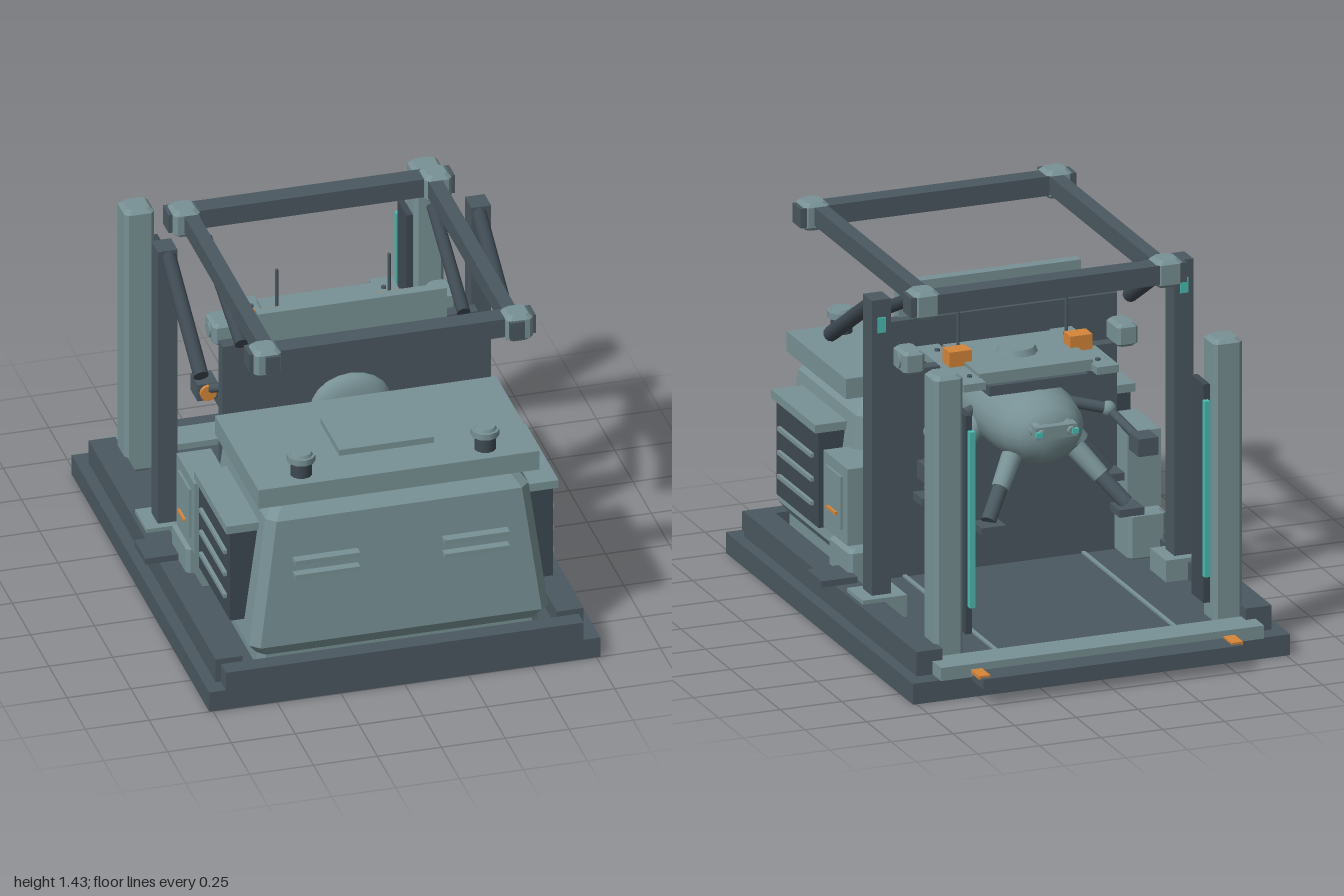
import * as THREE from 'three';

const mat = (name, color, flat = false) => {
  const m = new THREE.MeshStandardMaterial({ color, flatShading: flat });
  m.name = name;
  return m;
};

export function createModel() {
  const light = mat('pale grey green', 0x789195);
  const dark = mat('slate', 0x4a5860);
  const deep = mat('deep slate', 0x3e4952);
  const teal = mat('teal glow', 0x4abfb3);
  const orange = mat('orange', 0xd6853a);
  const root = new THREE.Group();

  const add = (name, geo, m) => {
    const mesh = new THREE.Mesh(geo, m);
    mesh.name = name;
    root.add(mesh);
    return mesh;
  };
  // Box from its minimum and maximum on each axis
  const box = (name, m, x0, x1, y0, y1, z0, z1) => {
    const mesh = add(name, new THREE.BoxGeometry(Math.abs(x1 - x0), y1 - y0, z1 - z0), m);
    mesh.position.set((x0 + x1) / 2, (y0 + y1) / 2, (z0 + z1) / 2);
    return mesh;
  };
  const pair = (fn) => [-1, 1].forEach(fn);
  // Round bar between two points
  const bar = (name, m, a, b, r0, r1 = r0, n = 12) => {
    const p = new THREE.Vector3(...a), q = new THREE.Vector3(...b), d = q.clone().sub(p);
    const mesh = add(name, new THREE.CylinderGeometry(r1, r0, d.length(), n), m);
    mesh.position.copy(p).add(q).multiplyScalar(0.5);
    mesh.quaternion.setFromUnitVectors(new THREE.Vector3(0, 1, 0), d.normalize());
    return mesh;
  };
  // Stack of chamfered rectangles: rows of [y, half width, back z, front z, chamfer]
  const loft = (name, m, cx, rows) => {
    const rings = rows.map(([y, w, zb, zf, c]) => [
      [w, zb + c], [w - c, zb], [c - w, zb], [-w, zb + c],
      [-w, zf - c], [c - w, zf], [w - c, zf], [w, zf - c],
    ].map(([x, z]) => [cx + x, y, z]));
    const pos = [], tri = (...p) => p.forEach((v) => pos.push(...v));
    const bottom = rings[0], top = rings[rings.length - 1];
    for (let i = 0; i < 8; i++) {
      const j = (i + 1) % 8;
      for (let k = 0; k + 1 < rings.length; k++) {
        const lo = rings[k], hi = rings[k + 1];
        tri(lo[i], lo[j], hi[j]);
        tri(lo[i], hi[j], hi[i]);
      }
      if (i > 0 && j > 0) {
        tri(top[0], top[i], top[j]);
        tri(bottom[0], bottom[j], bottom[i]);
      }
    }
    const g = new THREE.BufferGeometry();
    g.setAttribute('position', new THREE.Float32BufferAttribute(pos, 3));
    g.computeVertexNormals();
    return add(name, g, m);
  };
  const bevelBox = (name, m, x0, x1, y0, y1, z0, z1, c) => {
    const w = Math.abs(x1 - x0) / 2;
    return loft(name, m, (x0 + x1) / 2, [
      [y0, w - c, z0 + c, z1 - c, c], [y0 + c, w, z0, z1, c],
      [y1 - c, w, z0, z1, c], [y1, w - c, z0 + c, z1 - c, c],
    ]);
  };

  // Platform
  box('basePlate', dark, -0.765, 0.765, 0, 0.083, -0.885, 1);
  box('floor', dark, -0.62, 0.62, 0.08, 0.11, -0.8, 0.93);
  box('frontRail', dark, -0.7, 0.7, 0.083, 0.158, 0.93, 1);
  box('rearSill', light, -0.655, 0.655, 0.083, 0.135, -0.895, -0.765);
  box('rearStep', dark, -0.525, 0.525, 0.065, 0.106, -1, -0.88);
  pair((s) => {
    box('sideRail', dark, s * 0.615, s * 0.72, 0.083, 0.18, -0.81, 0.93);
    box('floorTrack', light, s * 0.355, s * 0.37, 0.11, 0.118, -0.73, 0.2);
    box('rearMarker', orange, s * 0.49, s * 0.535, 0.1, 0.114, -0.98, -0.895);
    box('sideStep', dark, s * 0.63, s * 0.775, 0.18, 0.205, 0.01, 0.16);
  });

  // Rear posts with guide plates and light strips
  pair((s) => {
    bevelBox('rearPost', light, s * 0.508, s * 0.625, 0.11, 1.24, -0.76, -0.64, 0.015);
    box('guidePlate', deep, s * 0.47, s * 0.495, 0.2, 1.07, -0.745, -0.622);
    box('lightStrip', teal, s * 0.465, s * 0.487, 0.31, 1.01, -0.77, -0.745);
  });

  // Gantry columns and braces
  pair((s) => {
    box('columnFoot', light, s * 0.525, s * 0.705, 0.1, 0.196, -0.23, -0.07);
    box('column', dark, s * 0.575, s * 0.652, 0.19, 1.37, -0.19, -0.1);
    box('columnLamp', teal, s * 0.597, s * 0.63, 1.24, 1.3, -0.196, -0.189);
    bar('outerBrace', deep, [s * 0.607, 1.345, -0.12], [s * 0.607, 1.065, 0.335], 0.03);
    bar('innerBrace', deep, [s * 0.445, 1.36, -0.17], [s * 0.435, 1.15, 0.285], 0.026);
  });

  // Overhead frame
  [-0.315, 0.795].forEach((z) => {
    box('crossBeam', dark, -0.56, 0.56, 1.343, 1.42, z - 0.04, z + 0.04);
    pair((s) => bevelBox('frameCorner', light, s * 0.44, s * 0.545, 1.325, 1.435, z - 0.045, z + 0.065, 0.015));
  });
  pair((s) => box('sideBeam', dark, s * 0.45, s * 0.505, 1.348, 1.42, -0.355, 0.875));

  // Front cabinet with lid
  loft('cabinet', light, 0, [
    [0.1, 0.55, 0.31, 0.92, 0.03], [0.165, 0.55, 0.31, 0.92, 0.03],
    [0.212, 0.585, 0.275, 0.95, 0.035], [0.735, 0.515, 0.275, 0.925, 0.035],
    [0.79, 0.47, 0.32, 0.87, 0.03],
  ]);
  box('lidGap', dark, -0.44, 0.44, 0.78, 0.805, 0.36, 0.84);
  box('lid', light, -0.55, 0.55, 0.8, 0.88, 0.325, 0.92);
  box('lidPlate', light, -0.185, 0.185, 0.88, 0.905, 0.49, 0.75);
  pair((s) => {
    [0.51, 0.57].forEach((y) => box('frontSlot', light, s * 0.165, s * 0.42, y - 0.009, y + 0.009, 0.92, 0.97));
    bar('ventNeck', deep, [s * 0.36, 0.88, 0.84], [s * 0.36, 0.945, 0.84], 0.042);
    bar('ventFlange', light, [s * 0.36, 0.94, 0.84], [s * 0.36, 0.965, 0.84], 0.055, 0.055, 10);
    bar('ventCap', light, [s * 0.36, 0.965, 0.84], [s * 0.36, 0.977, 0.84], 0.045, 0.04, 10);
  });

  // Side grilles
  pair((s) => {
    box('grillePanel', deep, s * 0.5, s * 0.632, 0.275, 0.66, 0.395, 0.82);
    box('grilleHood', light, s * 0.5, s * 0.65, 0.657, 0.69, 0.385, 0.832);
    [0.36, 0.455, 0.55].forEach((y) => box('grilleSlat', light, s * 0.63, s * 0.646, y - 0.008, y + 0.008, 0.44, 0.78));
  });

  // Side control boxes
  pair((s) => {
    box('controlBox', light, s * 0.5, s * 0.635, 0.3, 0.605, 0.095, 0.34);
    box('controlDoor', light, s * 0.634, s * 0.645, 0.35, 0.56, 0.145, 0.3);
    box('controlHandle', orange, s * 0.644, s * 0.655, 0.4, 0.412, 0.175, 0.262);
    bevelBox('controlBase', light, s * 0.49, s * 0.645, 0.1, 0.295, 0.055, 0.27, 0.015);
  });

  // Partition and header board
  box('partition', dark, -0.5, 0.5, 0.1, 1.13, 0.2, 0.255);
  box('headerBoard', light, -0.37, 0.37, 1.09, 1.265, 0.24, 0.283);

  // Suspended pod
  const profile = [[0, -0.4], [0.055, -0.4], [0.105, -0.365], [0.135, -0.3], [0.15, -0.2],
    [0.153, 0.1], [0.143, 0.22], [0.125, 0.275], [0.09, 0.31], [0, 0.312]];
  const podGeo = new THREE.LatheGeometry(profile.map((p) => new THREE.Vector2(...p)), 20);
  podGeo.rotateX(Math.PI / 2).scale(1.2, 1, 1).translate(0, 0.81, 0);
  add('pod', podGeo, light);
  box('podTail', light, -0.085, 0.085, 0.815, 0.865, -0.43, -0.36);
  pair((s) => {
    box('tailLamp', teal, s * 0.06, s * 0.085, 0.83, 0.85, -0.446, -0.429);
    bar('tailNozzle', light, [s * 0.06, 0.84, -0.37], [s * 0.06, 0.84, -0.44], 0.035, 0.015);
  });

  // Tray above the pod
  box('trayUnderframe', dark, -0.2, 0.2, 0.95, 0.99, -0.25, 0.2);
  box('trayCrossBar', dark, -0.37, 0.37, 0.955, 1.0, 0.135, 0.2);
  box('tray', light, -0.23, 0.23, 0.99, 1.035, -0.225, 0.145);
  bar('trayDome', light, [0, 1.03, -0.03], [0, 1.06, -0.03], 0.082, 0.07, 10);
  pair((s) => {
    box('trayWing', light, s * 0.225, s * 0.315, 0.99, 1.02, -0.28, 0.2);
    [-0.2, 0.125].forEach((z) => bar('trayBolt', dark, [s * 0.26, 1.015, z], [s * 0.26, 1.028, z], 0.01));
    box('beacon', orange, s * 0.2, s * 0.29, 1.02, 1.08, -0.075, -0.005);
    bar('antenna', dark, [s * 0.22, 1.02, 0.015], [s * 0.22, 1.292, 0.015], 0.007, 0.007, 8);
    bevelBox('sensor', light, s * 0.39, s * 0.475, 1.01, 1.1, -0.08, 0.045, 0.012);
    bar('sensorLens', light, [s * 0.47, 1.055, -0.018], [s * 0.482, 1.055, -0.018], 0.03);
    box('sensorArm', dark, s * 0.3, s * 0.4, 0.995, 1.02, -0.04, 0.01);
  });

  // Legs and gripper arms
  pair((s) => {
    [[0.13, 0.72, -0.3, 0.28, 0.525, -0.44], [0.15, 0.78, -0.03, 0.36, 0.525, -0.045]].forEach(([x, y, z, fx, fy, fz]) => {
      bar('legUpper', light, [s * x, y, z], [s * (x + fx) / 2, (y + fy) / 2, (z + fz) / 2], 0.04, 0.035);
      bar('legLower', dark, [s * (x + fx) / 2, (y + fy) / 2, (z + fz) / 2], [s * fx, fy, fz], 0.03);
      box('foot', dark, s * (fx - 0.05), s * (fx + 0.05), 0.49, 0.52, fz - 0.055, fz + 0.04);
    });
    bar('armUpper', dark, [s * 0.16, 0.82, -0.01], [s * 0.36, 0.77, -0.06], 0.022);
    bar('armLower', dark, [s * 0.36, 0.77, -0.06], [s * 0.43, 0.68, -0.22], 0.018);
    add('armElbow', new THREE.SphereGeometry(0.03, 12, 8), light).position.set(s * 0.36, 0.77, -0.06);
    box('gripper', dark, s * 0.39, s * 0.47, 0.645, 0.715, -0.29, -0.195);
    bar('gripperRing', orange, [s * 0.43, 0.68, -0.196], [s * 0.43, 0.68, -0.18], 0.032);
  });

  return root;
}
